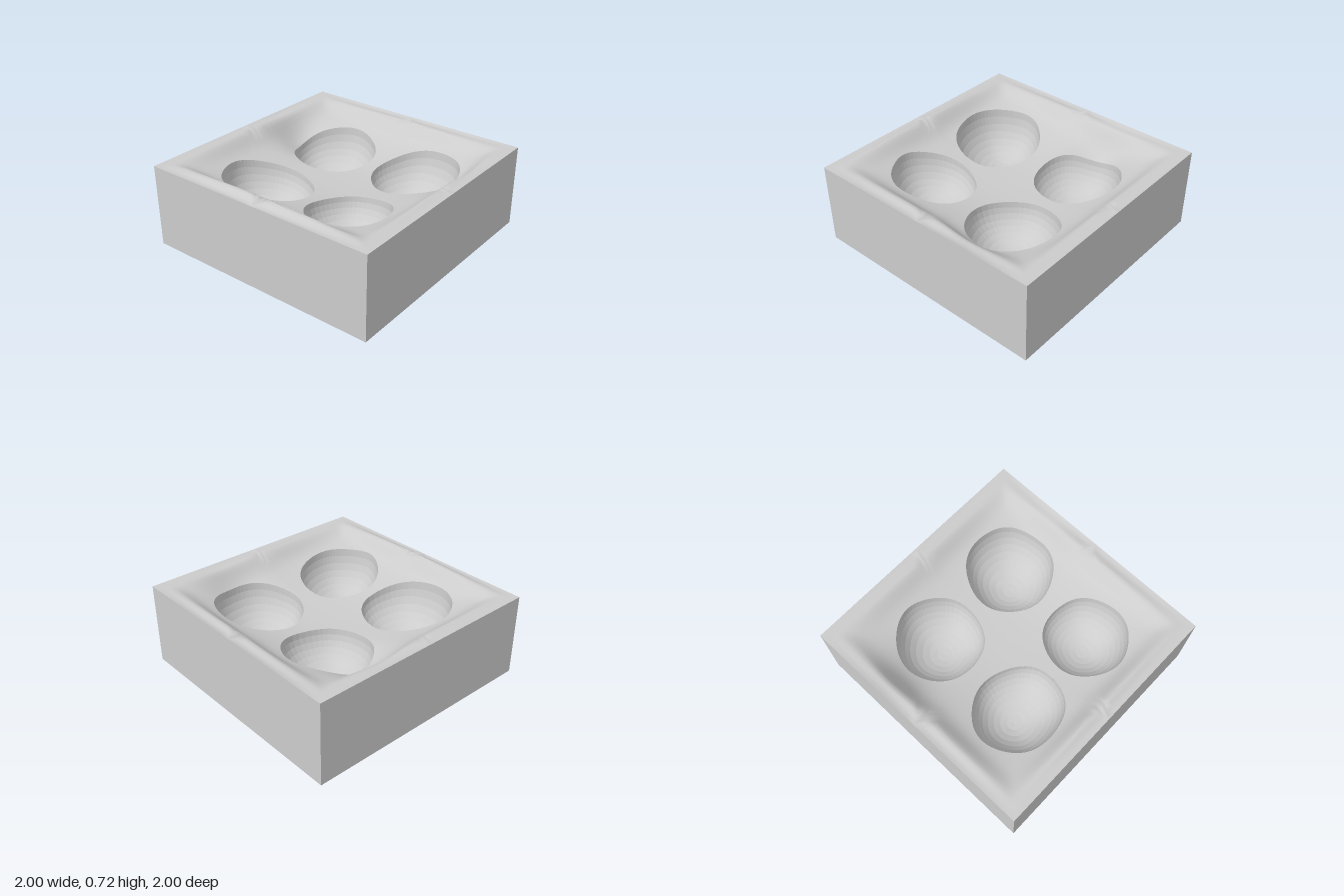
import * as THREE from 'three';
import { mergeGeometries, mergeVertices } from 'three/addons/utils/BufferGeometryUtils.js';

const H = 0.68;      // wall height
const SIDE = 16;     // segments along each side of a quadrant
const SEGS = SIDE * 4;

// sx, sz: quadrant; rim centre and radii; lowest point of the bowl
const BOWLS = [
  { name: 'backRightBowl', sx: -1, sz: -1, c: [-0.44, -0.36], r: [0.335, 0.365], low: [-0.44, 0.21, -0.4] },
  { name: 'backLeftBowl', sx: 1, sz: -1, c: [0.385, -0.36], r: [0.34, 0.34], low: [0.36, 0.19, -0.37] },
  { name: 'frontRightBowl', sx: -1, sz: 1, c: [-0.43, 0.41], r: [0.335, 0.315], low: [-0.44, 0.23, 0.4] },
  { name: 'frontLeftBowl', sx: 1, sz: 1, c: [0.395, 0.435], r: [0.35, 0.345], low: [0.36, 0.19, 0.4] },
];

// soft round hollow in the top
const dip = (x, z, cx, cz, depth) => depth * Math.exp(-((x - cx) ** 2 + (z - cz) ** 2) / 0.045);

// height of the sagging top, with a soft lip just inside the walls
function ground(x, z) {
  const ax = Math.abs(x), az = Math.abs(z);
  const sag = (0.22 + 0.03 * x) * (1 - ax ** 2.5) * (1 - az ** 2.5);
  const d = 1 - Math.max(ax, az);
  const along = Math.min(ax, az);
  const size = x < -az ? 0.08 : 0.06;
  const lip = size * (1 - along * along) * Math.exp(-(((d - 0.1) / 0.085) ** 2)) * Math.min(1, d / 0.1);
  const hollows = dip(x, z, 0.36, -0.66, 0.1) + dip(x, z, 0.4, 0.72, 0.06);
  return H - sag + lip - hollows * Math.min(1, d / 0.15);
}

// point j on the outline of a quadrant, running from x towards z
function outline(b, j) {
  const side = Math.floor(j / SIDE) % 4, t = (j % SIDE) / SIDE;
  const [u, v] = [[t, 0], [1, t], [1 - t, 1], [0, 1 - t]][side];
  return [u + (b.sx < 0 ? -1 : 0), v + (b.sz < 0 ? -1 : 0)];
}

// slightly uneven oval rim, facing outline point j
function rim(b, j) {
  const [px, pz] = outline(b, j);
  const a = Math.atan2(pz - b.c[1], px - b.c[0]);
  const wobble = 1 + 0.012 * Math.sin(5 * a + 3 * b.sx + b.sz);
  return [b.c[0] + Math.cos(a) * b.r[0] * wobble, b.c[1] + Math.sin(a) * b.r[1] * wobble];
}

// closed rings of points joined into a surface, inner ring first
function rings(rows, point) {
  const pos = [], index = [];
  for (let i = 0; i <= rows; i++)
    for (let j = 0; j < SEGS; j++) pos.push(...point(i / rows, j));
  for (let i = 0; i < rows; i++)
    for (let j = 0; j < SEGS; j++) {
      const a = i * SEGS + j, b = i * SEGS + ((j + 1) % SEGS);
      index.push(a, b, a + SEGS, b, b + SEGS, a + SEGS);
    }
  const g = new THREE.BufferGeometry();
  g.setAttribute('position', new THREE.Float32BufferAttribute(pos, 3));
  g.setIndex(index);
  return g;
}

export function createModel() {
  const group = new THREE.Group();
  const add = (name, geometry, options = {}) => {
    const material = new THREE.MeshStandardMaterial({ color: 0xcccccc, side: THREE.DoubleSide, ...options });
    const mesh = new THREE.Mesh(geometry, material);
    mesh.name = name;
    group.add(mesh);
  };

  // block: four walls and a floor, open at the top
  const block = new THREE.BoxGeometry(2, H, 2).translate(0, H / 2, 0);
  block.setIndex([...block.index.array].filter((_, i) => i < 12 || i >= 18));
  block.clearGroups();
  add('block', block);

  // smooth top around the bowls, welded across the four quadrants
  const patches = BOWLS.map((b) => rings(12, (t, j) => {
    const [rx, rz] = rim(b, j), [ox, oz] = outline(b, j);
    const x = rx + (ox - rx) * t, z = rz + (oz - rz) * t;
    return [x, ground(x, z), z];
  }));
  const top = mergeVertices(mergeGeometries(patches), 1e-4);
  top.computeVertexNormals();
  add('topSurface', top);

  // faceted bowls hanging from the rims
  for (const b of BOWLS) {
    const bowl = rings(9, (t, j) => {
      const [rx, rz] = rim(b, j);
      const s = Math.sin(t * Math.PI / 2), drop = Math.cos(t * Math.PI / 2);
      const y = ground(rx, rz);
      return [
        b.low[0] + (rx - b.low[0]) * s,
        y + (b.low[1] - y) * drop,
        b.low[2] + (rz - b.low[2]) * s,
      ];
    });
    bowl.computeVertexNormals();
    add(b.name, bowl, { flatShading: true });
  }
  return group;
}
